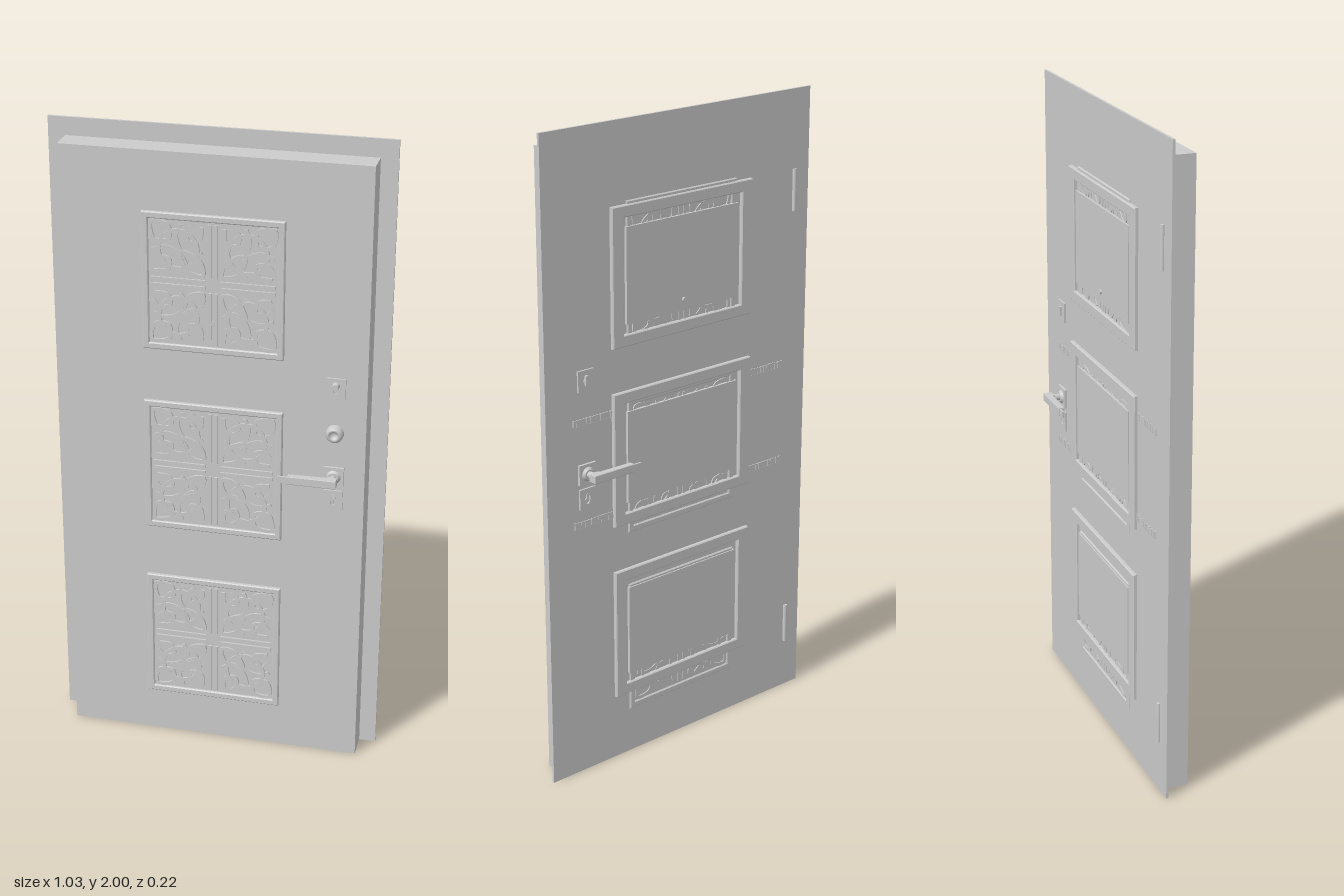
import * as THREE from 'three';
import { mergeGeometries } from 'three/addons/utils/BufferGeometryUtils.js';

const grey = new THREE.MeshStandardMaterial({ color: 0xcccccc });

function add(parent, name, geometry, x = 0, y = 0, z = 0) {
  const mesh = new THREE.Mesh(geometry, grey);
  mesh.name = name;
  mesh.position.set(x, y, z);
  parent.add(mesh);
  return mesh;
}

function group(parent, name, x = 0, y = 0, z = 0) {
  const g = new THREE.Group();
  g.name = name;
  g.position.set(x, y, z);
  parent.add(g);
  return g;
}

const box = (w, h, d) => new THREE.BoxGeometry(w, h, d);
// disc or rod whose axis points along z
const rod = (r0, r1, d, n = 24) => new THREE.CylinderGeometry(r0, r1, d, n).rotateX(Math.PI / 2);

function rect(w, h, Type = THREE.Shape) {
  return new Type([[-w, -h], [w, -h], [w, h], [-w, h]].map(([x, y]) => new THREE.Vector2(x / 2, y / 2)));
}

// rectangular frame with a bevelled edge, standing on z = 0
function frame(w, h, rim, rimY, depth) {
  const b = depth * 0.25;
  const shape = rect(w - 2 * b, h - 2 * b);
  shape.holes.push(rect(w - 2 * rim + 2 * b, h - 2 * rimY + 2 * b, THREE.Path));
  return new THREE.ExtrudeGeometry(shape, {
    depth: depth - b, bevelEnabled: true, bevelThickness: b, bevelSize: b, bevelSegments: 1,
  });
}

// flat band of constant width that follows a smooth curve
function ribbon(points, closed, width, depth) {
  const curve = new THREE.CatmullRomCurve3(points.map(([x, y]) => new THREE.Vector3(x, y, 0)), closed);
  const n = points.length * 6;
  const sides = [[], []];
  for (let i = 0; i < n + (closed ? 0 : 1); i++) {
    const p = curve.getPoint(i / n), t = curve.getTangent(i / n);
    [1, -1].forEach((s, k) => sides[k].push(
      new THREE.Vector2(p.x - s * t.y * width / 2, p.y + s * t.x * width / 2)));
  }
  let shape;
  if (closed) {
    const [a, b] = sides;
    const outerFirst = Math.abs(THREE.ShapeUtils.area(a)) > Math.abs(THREE.ShapeUtils.area(b));
    shape = new THREE.Shape(outerFirst ? a : b);
    shape.holes.push(new THREE.Path(outerFirst ? b : a));
  } else {
    shape = new THREE.Shape([...sides[0], ...sides[1].reverse()]);
  }
  return new THREE.ExtrudeGeometry(shape, { depth, bevelEnabled: false });
}

// interlaced bands for one quarter of a panel, in a unit cell
function knotQuarter(cell) {
  const ring = [];
  for (let i = 0; i < 10; i++) {
    const a = i * Math.PI / 5;
    ring.push([0.53 + 0.3 * Math.cos(a), 0.53 + 0.3 * Math.sin(a)]);
  }
  const open = [
    [[0.16, 0.5], [0.32, 0.42], [0.5, 0.55], [0.56, 0.75], [0.5, 0.93]],
    [[0.5, 0.16], [0.42, 0.32], [0.55, 0.5], [0.75, 0.56], [0.93, 0.5]],
    [[0.17, 0.9], [0.2, 0.7], [0.36, 0.66], [0.4, 0.82], [0.3, 0.92]],
    [[0.9, 0.17], [0.7, 0.2], [0.66, 0.36], [0.82, 0.4], [0.92, 0.3]],
    [[0.05, 0.12], [0.05, 0.4], [0.05, 0.7], [0.05, 0.95]],
    [[0.12, 0.05], [0.4, 0.05], [0.7, 0.05], [0.95, 0.05]],
  ];
  const closed = [
    ring,
    [[0.68, 0.68], [0.9, 0.68], [0.94, 0.94], [0.68, 0.9]],
    [[0.15, 0.15], [0.38, 0.2], [0.5, 0.5], [0.2, 0.38]],
  ];
  const parts = [...open.map(p => [p, false]), ...closed.map(p => [p, true])];
  return mergeGeometries(parts.map(([pts, shut], i) => ribbon(
    pts.map(([x, y]) => [x * cell, y * cell]), shut, 0.011, 0.0055 + i * 0.0002)));
}

const quarter = knotQuarter(0.195);
const knotwork = mergeGeometries([0, 1, 2, 3].map(i => quarter.clone().rotateZ(i * Math.PI / 2)));
const panelFrame = frame(0.426, 0.426, 0.02, 0.02, 0.012);

// square ornamental panel facing +z
function ornamentPanel(parent, name, y, z) {
  const g = group(parent, name, 0, y, z);
  add(g, 'panelBase', box(0.41, 0.41, 0.004), 0, 0, 0.002);
  add(g, 'knotwork', knotwork, 0, 0, 0.0035);
  add(g, 'panelFrame', panelFrame);
  return g;
}

// lever handle on a square rose, facing +z
function leverHandle(parent, name, z) {
  const g = group(parent, name, 0.37, 0.978, z);
  add(g, 'rose', box(0.062, 0.062, 0.008), 0, 0, 0.004);
  add(g, 'neckCollar', rod(0.016, 0.022, 0.008), 0, 0, 0.012);
  add(g, 'neck', rod(0.013, 0.01, 0.04), 0, 0, 0.032);
  // lever outline seen from above, extruded upward
  const outline = new THREE.Shape([[0.016, 0.036], [0.016, 0.062], [-0.13, 0.062], [-0.13, 0.045],
    [-0.015, 0.042], [-0.011, 0.036]].map(([x, v]) => new THREE.Vector2(x, v)));
  const lever = new THREE.ExtrudeGeometry(outline, {
    depth: 0.022, bevelThickness: 0.002, bevelSize: 0.001, bevelSegments: 1,
  }).translate(0, 0, -0.011).rotateX(Math.PI / 2);
  add(g, 'lever', lever);
  add(g, 'leverTip', box(0.03, 0.02, 0.006), -0.145, 0, 0.058);
  return g;
}

// square plate with an oval keyhole, facing +z
function keyPlate(parent, name, y, z) {
  const g = group(parent, name, 0.37, y, z);
  const shape = rect(0.058, 0.064);
  const hole = new THREE.Path();
  hole.absellipse(0, 0, 0.009, 0.017, 0, Math.PI * 2, true);
  shape.holes.push(hole);
  add(g, 'plate', new THREE.ExtrudeGeometry(shape, { depth: 0.006, bevelEnabled: false, curveSegments: 10 }));
  add(g, 'keyBarrel', rod(0.007, 0.007, 0.004, 16), 0, 0.006, 0.002);
  add(g, 'keySlot', box(0.005, 0.014, 0.004), 0, -0.006, 0.002);
  return g;
}

export function createModel() {
  const door = new THREE.Group();
  door.name = 'door';
  const front = 0.043, back = -0.048;

  // leaf and overlapping back sheet
  add(door, 'doorLeaf', box(0.926, 1.945, 0.084), 0, 0.9725, 0.001);
  add(door, 'backSheet', box(1.03, 2, 0.008), 0, 1, -0.044);

  // front panels, and matching ones under the back frames
  for (const y of [1.5525, 0.9575, 0.3605]) {
    ornamentPanel(door, 'frontPanel', y, front);
    ornamentPanel(door, 'backPanel', y, back + 0.007).rotation.x = Math.PI;
  }

  // wide back frames with a raised field
  const backFrame = frame(0.544, 0.42, 0.042, 0.036, 0.012);
  for (const y of [1.546, 0.988, 0.42]) {
    const g = group(door, 'backFramePanel', 0, y, back);
    g.rotation.x = Math.PI;
    add(g, 'backFrame', backFrame);
    add(g, 'raisedField', box(0.436, 0.29, 0.009), 0, 0, 0.0045);
  }

  // ribbed bars crossing the back
  for (const y of [1.14, 0.82]) {
    const g = group(door, 'backBar', 0, y, back);
    for (const s of [-1, 1]) {
      add(g, 'bar', box(0.15, 0.018, 0.002), s * 0.345, 0, -0.001);
      const ribs = [];
      for (let i = 0; i < 12; i++) ribs.push(box(0.005, 0.022, 0.003).translate(0.277 + i * 0.0125, 0, 0));
      add(g, 'barRibs', mergeGeometries(ribs).scale(1, 1, 1), s > 0 ? 0 : -0.691, 0, -0.0015);
    }
  }

  // handles and key plates
  leverHandle(door, 'frontHandle', front);
  leverHandle(door, 'backHandle', back).rotation.x = Math.PI;
  for (const y of [1.265, 0.9]) {
    keyPlate(door, 'frontKeyPlate', y, front);
    keyPlate(door, 'backKeyPlate', y, back).rotation.x = Math.PI;
  }
  add(door, 'upperKeyKnob', rod(0.009, 0.012, 0.022), 0.37, 1.275, 0.056);
  add(door, 'backThumbTurn', box(0.01, 0.03, 0.012), 0.37, 1.265, back - 0.006);

  // round lock cylinder on the front
  const profile = [[0, 0.012], [0.011, 0.012], [0.012, 0.024], [0.02, 0.024], [0.026, 0.014], [0.027, 0]];
  const cylinder = new THREE.LatheGeometry(profile.map(p => new THREE.Vector2(...p)).reverse(), 24);
  add(door, 'lockCylinder', cylinder.rotateX(Math.PI / 2), 0.37, 1.12, front).material =
    Object.assign(grey.clone(), { side: THREE.DoubleSide });

  // peephole
  add(door, 'peepholeFront', rod(0.007, 0.007, 0.01, 16), 0, 1.435, front + 0.006);
  add(door, 'peepholeBack', rod(0.007, 0.007, 0.014, 16), 0, 1.435, back - 0.008);

  // hinge barrels
  for (const y of [1.69, 0.228]) {
    add(door, 'hinge', new THREE.CylinderGeometry(0.007, 0.007, 0.13, 16), -0.455, y, -0.05);
  }
  return door;
}
